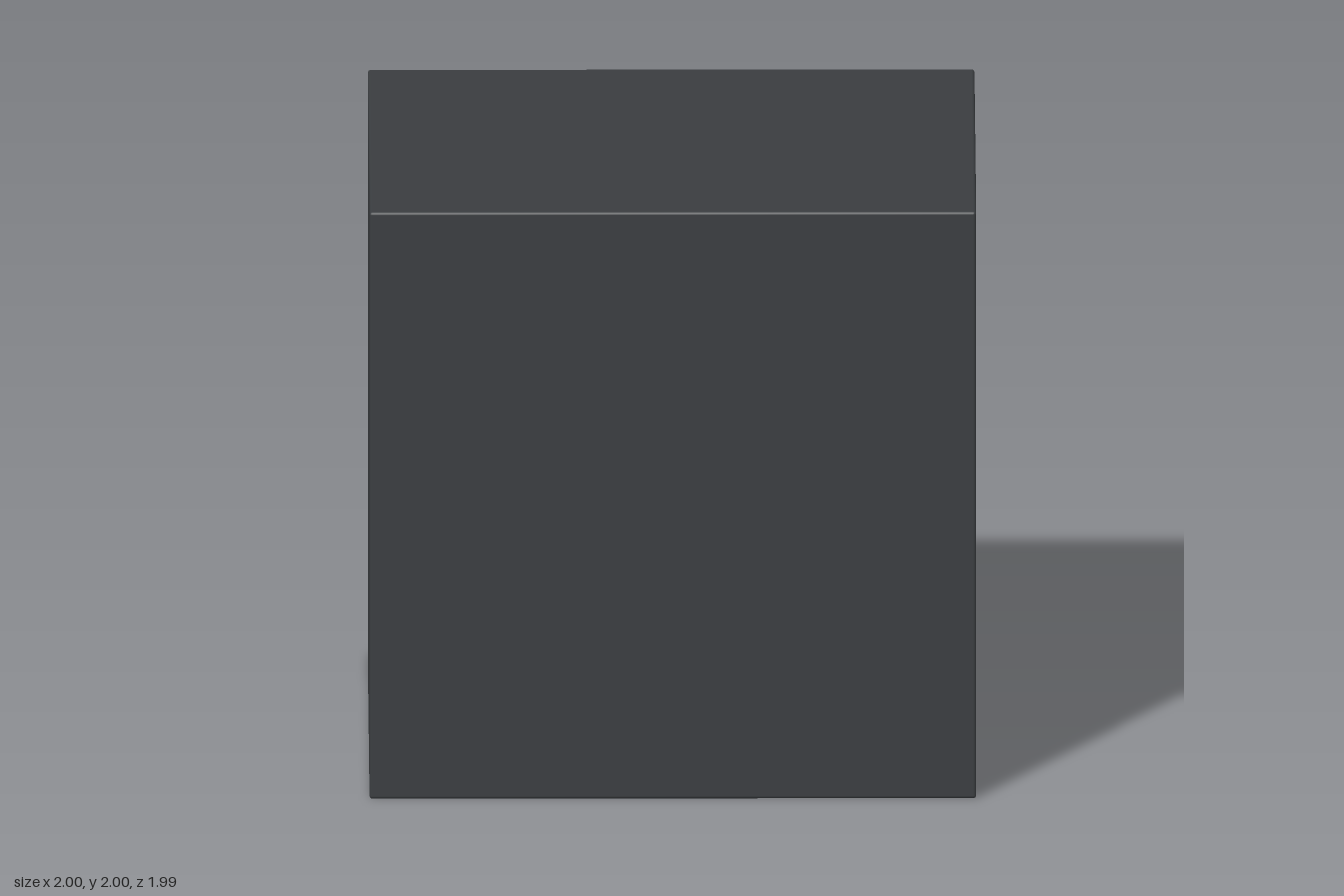
import * as THREE from 'three';
import { RoundedBoxGeometry } from 'three/addons/geometries/RoundedBoxGeometry.js';

const paint = (color) => new THREE.MeshStandardMaterial({ color });

export function createModel() {
  const model = new THREE.Group();
  const bodyPaint = paint(0x3a3d40);
  const panelPaint = paint(0x454849);
  const platePaint = paint(0x575959);
  const steel = paint(0x666868);
  const red = paint(0xa82a24);

  const add = (name, geometry, material, x, y, z) => {
    const mesh = new THREE.Mesh(geometry, material);
    mesh.name = name;
    mesh.position.set(x, y, z);
    model.add(mesh);
    return mesh;
  };
  // Short cylinder whose axis runs along z
  const disc = (radius, depth, sides) =>
    new THREE.CylinderGeometry(radius, radius, depth, sides).rotateX(Math.PI / 2);

  // Main block with finely softened edges
  add('body', new RoundedBoxGeometry(2, 2, 1.858, 2, 0.01), bodyPaint, 0, 1, 0.064);

  // Access panel on the back
  add('backPanel', new THREE.BoxGeometry(1.436, 1.364, 0.07), panelPaint, 0, 1.003, -0.89);

  // Corner bolts
  for (const x of [-0.632, 0.632]) {
    for (const y of [0.413, 1.593]) {
      add('bolt', disc(0.027, 0.03, 12), steel, x, y, -0.934);
    }
  }

  // Switch plate and the toggle standing on it
  add('switchPlate', new RoundedBoxGeometry(0.436, 0.52, 0.023, 2, 0.008), platePaint, 0, 1.022, -0.9355);
  add('switchCollar', disc(0.046, 0.022, 20), steel, 0, 1.016, -0.951);
  add('switchLever', new THREE.CylinderGeometry(0.033, 0.033, 0.155, 16), red, 0, 1.102, -0.946);
  add('switchKnob', new THREE.SphereGeometry(0.047, 20, 14), red, 0, 1.174, -0.946);

  return model;
}
